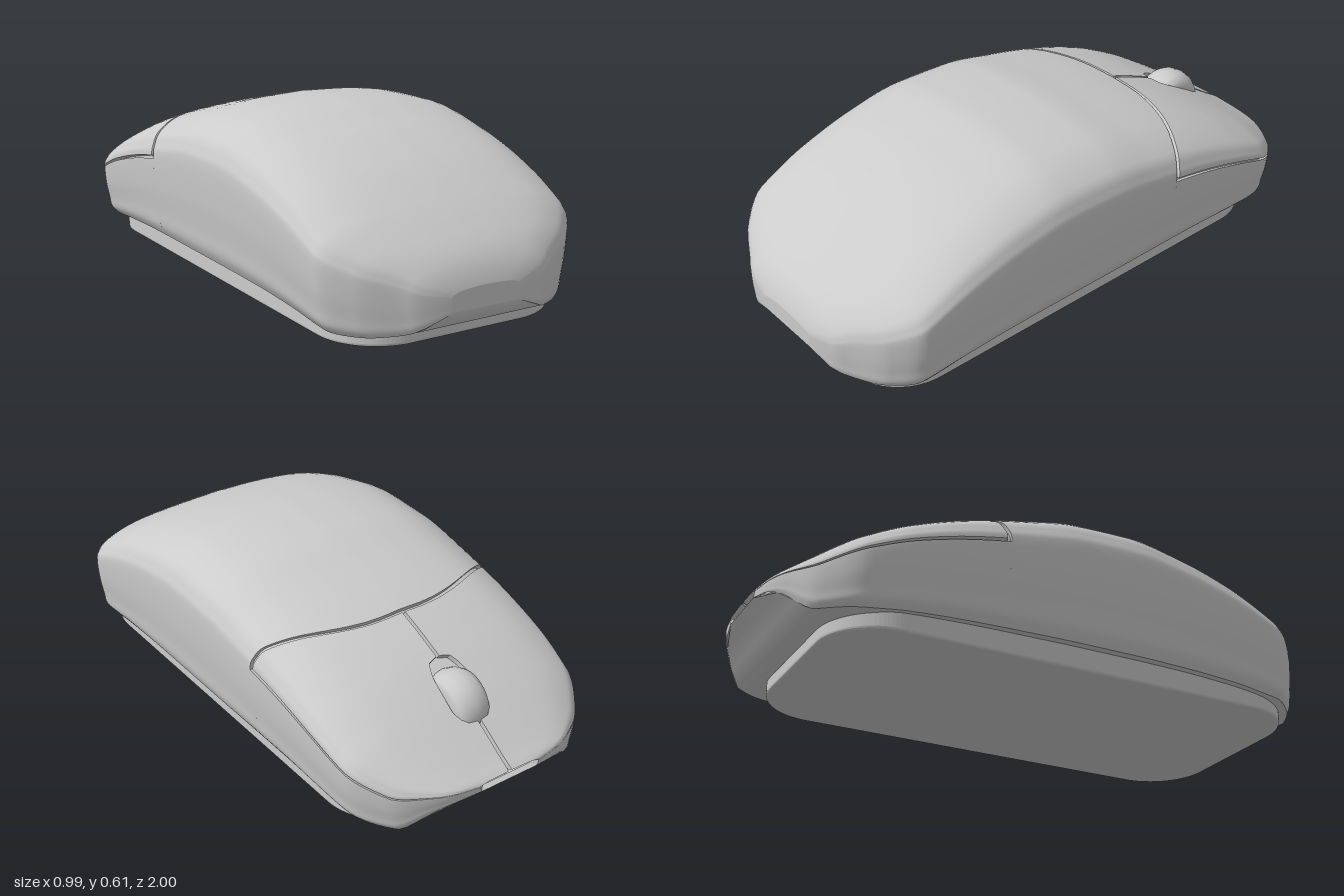
import * as THREE from 'three';

// Stations along z: [z, half width, bottom y, top y]
const STATIONS = [
  [-1, 0.12, 0.16, 0.19], [-0.985, 0.21, 0.148, 0.2], [-0.96, 0.275, 0.125, 0.215],
  [-0.88, 0.39, 0.045, 0.268], [-0.75, 0.468, 0.05, 0.35], [-0.6, 0.483, 0.064, 0.43],
  [-0.4, 0.488, 0.074, 0.508], [-0.2, 0.492, 0.078, 0.562], [0, 0.495, 0.08, 0.603],
  [0.2, 0.495, 0.08, 0.61], [0.4, 0.493, 0.077, 0.573], [0.6, 0.49, 0.067, 0.503],
  [0.78, 0.482, 0.047, 0.405], [0.88, 0.405, 0.04, 0.335], [0.95, 0.29, 0.05, 0.275],
  [0.985, 0.225, 0.075, 0.225], [1, 0.13, 0.11, 0.18],
];
// Half-width of the gap between the buttons, widened around the wheel: [z, x]
const GAP = [[-1, 0.01], [-0.845, 0.01], [-0.84, 0.05], [-0.79, 0.08], [-0.7, 0.075],
  [-0.635, 0.052], [-0.63, 0.01], [-0.4, 0.01]];

// Smooth interpolation of a table column, without overshoot
function interp(table, z, c) {
  const n = table.length;
  let i = 0;
  while (i < n - 2 && z > table[i + 1][0]) i++;
  const slope = (k) => (table[k + 1][c] - table[k][c]) / (table[k + 1][0] - table[k][0]);
  const tangent = (k) => {
    if (k === 0) return slope(0);
    if (k === n - 1) return slope(n - 2);
    const a = slope(k - 1), b = slope(k);
    return a * b <= 0 ? 0 : (2 * a * b) / (a + b);
  };
  const h = table[i + 1][0] - table[i][0];
  const t = THREE.MathUtils.clamp((z - table[i][0]) / h, 0, 1);
  const t2 = t * t, t3 = t2 * t;
  return (2 * t3 - 3 * t2 + 1) * table[i][c] + (t3 - 2 * t2 + t) * h * tangent(i)
    + (3 * t2 - 2 * t3) * table[i + 1][c] + (t3 - t2) * h * tangent(i + 1);
}

// Half cross-section, top centre to bottom edge, as fractions of width and height
const SECTION = new THREE.SplineCurve([[0, 1], [0.38, 0.98], [0.7, 0.925], [0.91, 0.82],
  [0.98, 0.72], [1, 0.63], [0.99, 0.4], [0.965, 0.2], [0.95, 0.08], [0.91, 0]]
  .map(([x, y]) => new THREE.Vector2(x, y)));
const RIM = 0.5, EDGE = 0.9, SEAM = -0.44;

// Point of the shell: u runs round the section (-1..1, 0 = top), v along z
function shell(u, v, inset = 0) {
  const k = Math.abs(u);
  const p = SECTION.getPoint(Math.min(k / EDGE, 1));
  if (k > EDGE) p.x *= (1 - k) / (1 - EDGE);
  // rows sweep backwards towards the sides along the button seam
  const across = k > RIM ? 1 : p.x;
  const sweep = 0.155 * Math.max(0, (across - 0.16) / 0.84) ** 1.8;
  const s = THREE.MathUtils.smoothstep;
  const z = v + sweep * (v < SEAM ? s(v, -1, SEAM) : 1 - s(v, SEAM, 0.5));
  const b = interp(STATIONS, z, 2), t = interp(STATIONS, z, 3);
  const d = Math.min(inset, 0.3 * (t - b));
  const x = p.x * (interp(STATIONS, z, 1) - inset) * Math.sign(u);
  return new THREE.Vector3(x, b + d + p.y * (t - b - 2 * d), z * (1 - inset));
}

const material = new THREE.MeshStandardMaterial({ color: 0xcccccc, side: THREE.DoubleSide });

function addMesh(parent, name, geometry) {
  const mesh = new THREE.Mesh(geometry, material);
  mesh.name = name;
  parent.add(mesh);
  return mesh;
}

// Part of the shell between u limits (functions of v) and v limits, with a skirt going inwards
function patch(parent, name, uMin, uMax, v0, v1, nu, nv, inset = 0) {
  const param = (i, j) => {
    const v = v0 + ((v1 - v0) * j) / nv, a = uMin(v), b = uMax(v);
    return [a + ((b - a) * i) / nu, v, a, b];
  };
  const pos = [], nor = [], idx = [];
  const e = 0.004;
  for (let j = 0; j <= nv; j++) {
    for (let i = 0; i <= nu; i++) {
      const [u, v, a, b] = param(i, j);
      pos.push(...shell(u, v, inset));
      const du = shell(Math.min(u + e, b), v).sub(shell(Math.max(u - e, a), v));
      const dv = shell(u, Math.min(v + e, 1)).sub(shell(u, Math.max(v - e, -1)));
      nor.push(...dv.cross(du).normalize());
      if (i < nu && j < nv) {
        const q = j * (nu + 1) + i, r = q + nu + 1;
        idx.push(q, r, q + 1, q + 1, r, r + 1);
      }
    }
  }
  const g = new THREE.BufferGeometry();
  g.setAttribute('position', new THREE.Float32BufferAttribute(pos, 3));
  g.setAttribute('normal', new THREE.Float32BufferAttribute(nor, 3));
  g.setIndex(idx);
  addMesh(parent, name, g);
  if (inset) return;

  const loop = [];
  for (let i = 0; i < nu; i++) loop.push(param(i, 0));
  for (let j = 0; j < nv; j++) loop.push(param(nu, j));
  for (let i = nu; i > 0; i--) loop.push(param(i, nv));
  for (let j = nv; j > 0; j--) loop.push(param(0, j));
  const wall = [];
  loop.forEach(([u, v], n) => {
    const [u2, v2] = loop[(n + 1) % loop.length];
    const a = shell(u, v), b = shell(u2, v2), c = shell(u, v, 0.016), d = shell(u2, v2, 0.016);
    for (const p of [a, b, c, b, d, c]) wall.push(...p);
  });
  const w = new THREE.BufferGeometry();
  w.setAttribute('position', new THREE.Float32BufferAttribute(wall, 3));
  w.computeVertexNormals();
  addMesh(parent, name + 'Edge', w);
}

export function createModel() {
  const model = new THREE.Group();
  model.name = 'computerMouse';
  const at = (value) => () => value;

  // Inner core seen at the bottom of the grooves
  patch(model, 'core', at(-EDGE), at(EDGE), -1, 1, 60, 70, 0.016);

  // Palm shell with its rounded end
  patch(model, 'palmShell', at(-EDGE), at(EDGE), SEAM + 0.007, 1, 72, 80);
  const end = [];
  for (let i = -36; i <= 36; i++) {
    const p = shell((i / 36) * EDGE, 1);
    end.push(new THREE.Vector2(p.x, p.y));
  }
  addMesh(model, 'palmEnd', new THREE.ShapeGeometry(new THREE.Shape(end))).position.z = 1;

  // Buttons, side walls below them and the underside
  const gap = (v) => Math.min(0.3, interp(GAP, v, 1) / interp(STATIONS, v, 1) / 3.8);
  patch(model, 'leftButton', gap, at(RIM - 0.008), -1, SEAM - 0.007, 24, 110);
  patch(model, 'rightButton', at(-RIM + 0.008), (v) => -gap(v), -1, SEAM - 0.007, 24, 110);
  patch(model, 'leftSideWall', at(RIM + 0.008), at(EDGE), -1, SEAM + 0.007, 20, 40);
  patch(model, 'rightSideWall', at(-EDGE), at(-RIM - 0.008), -1, SEAM + 0.007, 20, 40);
  patch(model, 'leftUnderside', at(EDGE), at(1), -1, 1, 4, 60);
  patch(model, 'rightUnderside', at(-1), at(-EDGE), -1, 1, 4, 60);

  // Scroll wheel, a barrel turned about x
  const profile = [[0, -0.066], [0.075, -0.066], [0.1, -0.058], [0.113, -0.035], [0.119, 0],
    [0.113, 0.035], [0.1, 0.058], [0.075, 0.066], [0, 0.066]];
  const wheel = addMesh(model, 'scrollWheel',
    new THREE.LatheGeometry(profile.map(([r, y]) => new THREE.Vector2(r, y)), 40));
  wheel.rotation.z = Math.PI / 2;
  wheel.position.set(0, 0.287, -0.725);

  // Base plate
  const bevel = 0.01, r = 0.2, x = 0.42 - bevel, y0 = -0.91 + bevel, y1 = 0.82 - bevel;
  const outline = new THREE.Shape();
  outline.absarc(x - r, y1 - r, r, 0, Math.PI / 2);
  outline.absarc(-x + r, y1 - r, r, Math.PI / 2, Math.PI);
  outline.absarc(-x + r, y0 + r, r, Math.PI, Math.PI * 1.5);
  outline.absarc(x - r, y0 + r, r, Math.PI * 1.5, Math.PI * 2);
  const base = new THREE.ExtrudeGeometry(outline, {
    depth: 0.08, bevelThickness: bevel, bevelSize: bevel, bevelSegments: 3, curveSegments: 12,
  });
  base.rotateX(-Math.PI / 2);
  addMesh(model, 'basePlate', base).position.y = bevel;
  return model;
}
